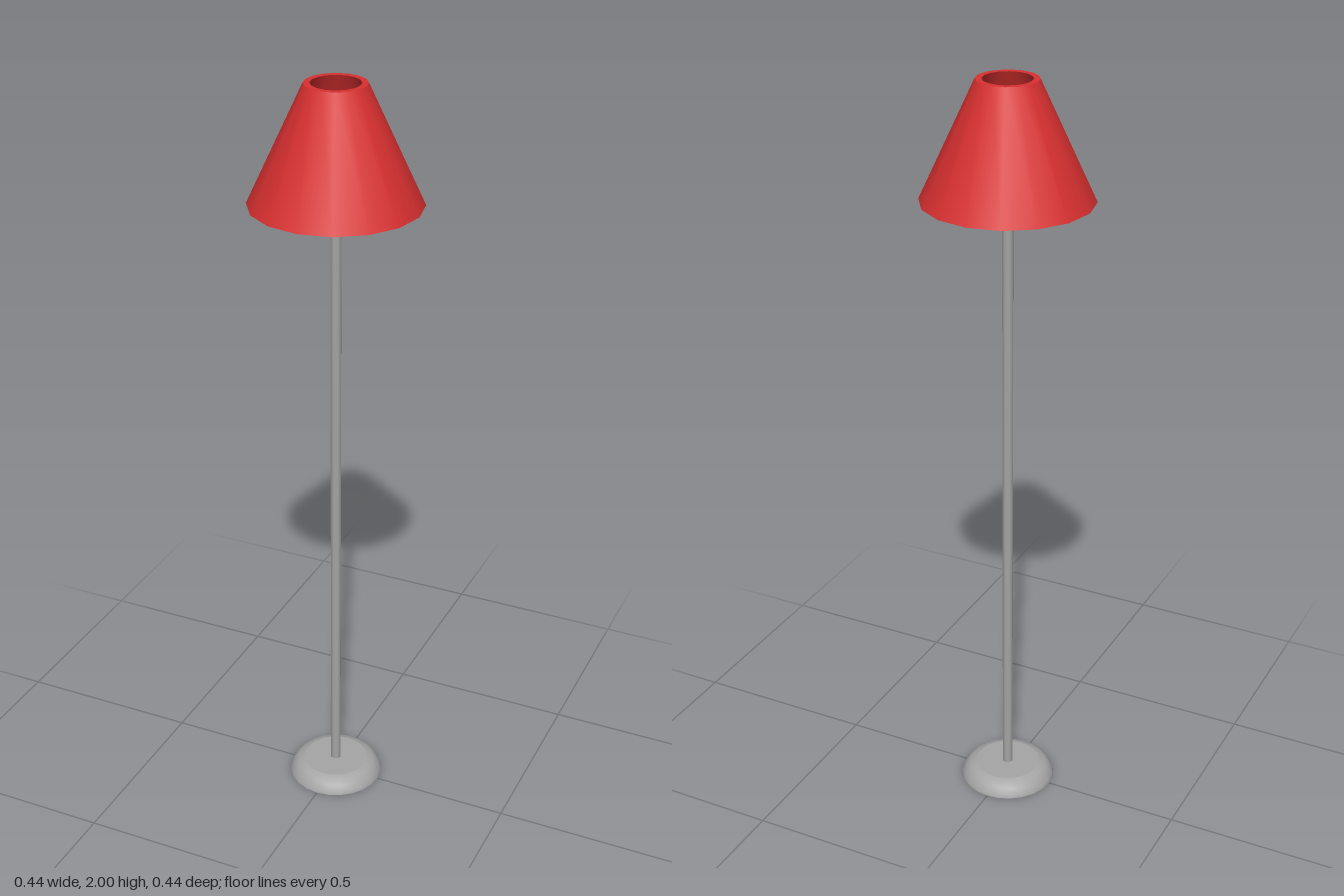
import * as THREE from 'three';
import { mergeGeometries } from 'three/addons/utils/BufferGeometryUtils.js';

// Revolves several profile strips, keeping a sharp edge between strips
function turned(strips, sides) {
  return mergeGeometries(strips.map((strip) =>
    new THREE.LatheGeometry(strip.map(([r, y]) => new THREE.Vector2(r, y)), sides)));
}

export function createModel() {
  const metal = new THREE.MeshStandardMaterial({ color: 0xa6a6a6 });
  metal.name = 'grey metal';
  const fabric = new THREE.MeshStandardMaterial({ color: 0xd93030 });
  fabric.name = 'red fabric';

  const model = new THREE.Group();
  model.name = 'floorLamp';
  const add = (name, geometry, material, y = 0) => {
    const mesh = new THREE.Mesh(geometry, material);
    mesh.name = name;
    mesh.position.y = y;
    model.add(mesh);
    return mesh;
  };

  // Round foot with a sloping shoulder and a flat top
  add('base', turned([
    [[0, 0], [0.129, 0]],
    [[0.129, 0], [0.127, 0.009], [0.117, 0.025], [0.105, 0.035], [0.088, 0.04]],
    [[0.088, 0.04], [0, 0.04]],
  ], 24), metal);

  // Slim pole with a rounded tip
  const poleTop = 1.89;
  add('pole', new THREE.CylinderGeometry(0.0145, 0.0145, poleTop - 0.03, 8, 1, true),
    metal, (poleTop + 0.03) / 2);
  add('poleTip', new THREE.SphereGeometry(0.0165, 8, 6), metal, poleTop);

  // Thin bar carrying the shade
  const bar = add('shadeBar', new THREE.CylinderGeometry(0.005, 0.005, 0.23, 6), metal, 1.88);
  bar.rotation.set(Math.PI / 2, 0, 0.38);

  // Thick-walled conical shade, open at both ends
  const outerTop = [0.078, 2], outerBottom = [0.218, 1.7];
  const innerTop = [0.062, 2], innerBottom = [0.2, 1.7];
  add('shade', turned([
    [outerBottom, outerTop],
    [outerTop, innerTop],
    [innerTop, innerBottom],
    [innerBottom, outerBottom],
  ], 16), fabric);

  return model;
}
